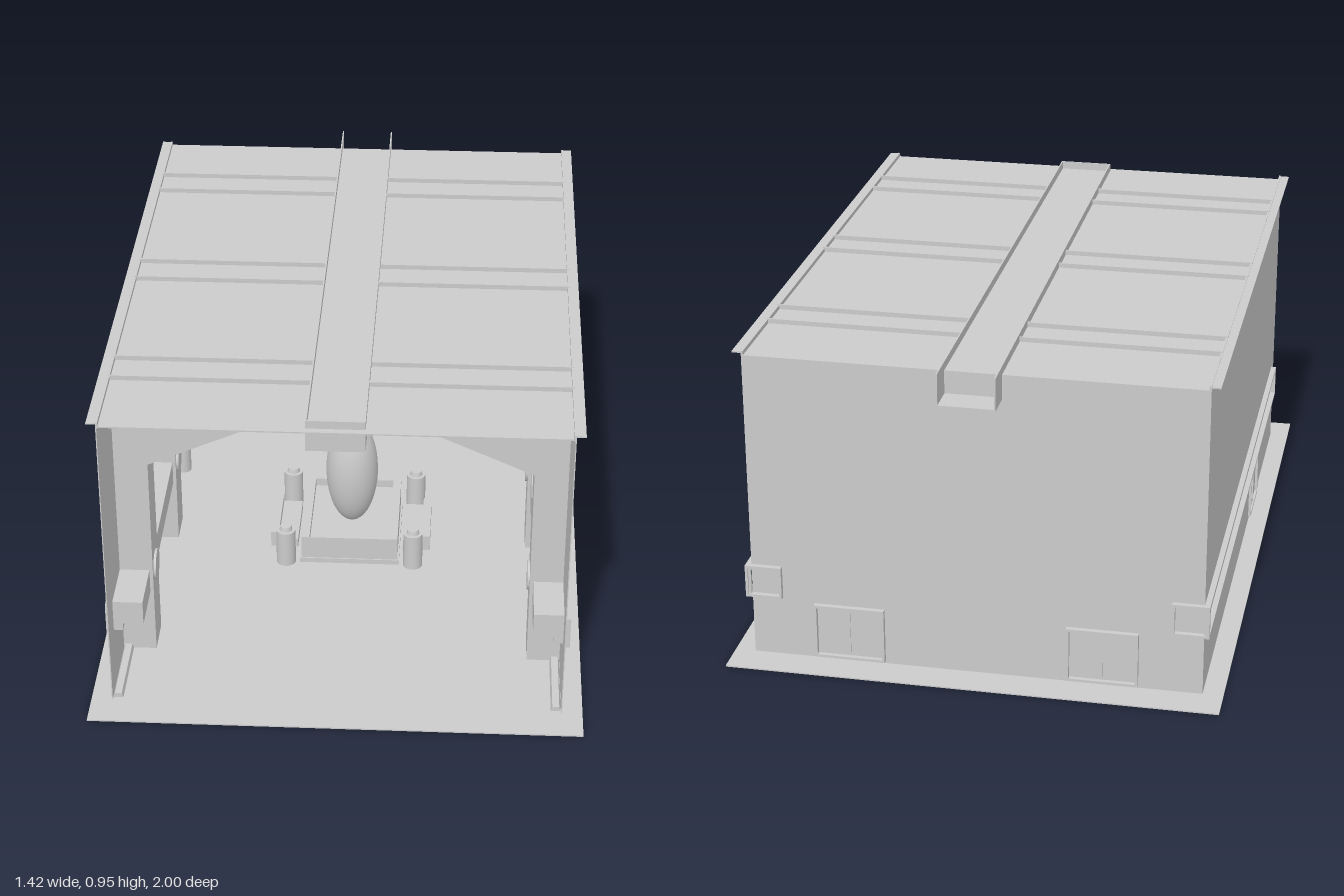
import * as THREE from 'three';

const mat = new THREE.MeshStandardMaterial({ color: 0xcccccc, side: THREE.DoubleSide });

export function createModel() {
  const root = new THREE.Group();

  const add = (name, geo, x = 0, y = 0, z = 0) => {
    const m = new THREE.Mesh(geo, mat);
    m.name = name;
    m.position.set(x, y, z);
    root.add(m);
    return m;
  };
  // box given by its min and max corners
  const box = (name, x0, x1, y0, y1, z0, z1) =>
    add(name, new THREE.BoxGeometry(Math.abs(x1 - x0), y1 - y0, z1 - z0), (x0 + x1) / 2, (y0 + y1) / 2, (z0 + z1) / 2);
  const poly = (pts) => new THREE.Shape(pts.map(([x, y]) => new THREE.Vector2(x, y)));
  // thin rectangular rim, drawn in a vertical plane and extruded outward
  const rim = (w, h, depth, t = 0.008) => {
    const s = poly([[-w / 2, 0], [w / 2, 0], [w / 2, h], [-w / 2, h]]);
    s.holes.push(poly([[t - w / 2, t], [t - w / 2, h - t], [w / 2 - t, h - t], [w / 2 - t, t]]));
    return new THREE.ExtrudeGeometry(s, { depth, bevelEnabled: false });
  };

  // ground slab and shell, open at the front
  box('floor', -0.709, 0.709, 0, 0.004, -1, 1);
  box('backWall', -0.65, 0.65, 0, 0.928, -0.9, -0.896);
  box('roof', -0.65, 0.65, 0.924, 0.928, -0.9, 0.9);

  // U-shaped roof channel, open at the back
  box('channelFloor', -0.081, 0.081, 0.857, 0.861, -0.985, 0.88);
  box('channelFront', -0.081, 0.081, 0.857, 0.952, 0.876, 0.88);

  // portal frames with sloped haunches, and their ribs on the roof
  const portal = poly([
    [-0.649, 0], [-0.55, 0], [-0.55, 0.65], [-0.081, 0.858], [0.081, 0.858],
    [0.55, 0.65], [0.55, 0], [0.649, 0], [0.649, 0.925], [-0.649, 0.925]]);
  for (const z of [0.59, 0, -0.6]) {
    add('portalFrame', new THREE.ExtrudeGeometry(portal, { depth: 0.116, bevelEnabled: false }), 0, 0, z - 0.058);
    for (const e of [-0.056, 0.056])
      for (const s of [-1, 1])
        box('roofRib', s * 0.081, s * 0.65, 0.926, 0.942, z + e - 0.003, z + e + 0.003);
  }

  // wedge-topped curb along z or x
  const curb = (length, x, z, alongX) => {
    const g = new THREE.ExtrudeGeometry(poly([[-0.015, 0.002], [0.015, 0.002], [0.01, 0.018], [-0.01, 0.018]]),
      { depth: length, bevelEnabled: false });
    g.translate(0, 0, -length / 2);
    add('curb', g, x, 0, z).rotation.y = alongX ? Math.PI / 2 : 0;
  };
  curb(0.54, 0, -0.88, true);

  for (const s of [-1, 1]) {
    box('sideWall', s * 0.647, s * 0.65, 0, 0.928, -0.9, 0.9);
    box('channelRail', s * 0.078, s * 0.082, 0.857, 0.952, -0.985, 0.88);
    // raised roof edge with an overhanging flange
    box('roofEdge', s * 0.644, s * 0.65, 0.92, 0.94, -0.9, 0.9);
    box('roofFlange', s * 0.65, s * 0.676, 0.934, 0.938, -0.9, 0.9);

    // stepped service duct on the inside of the wall
    const duct = poly([[0.56, 0.21], [0.62, 0.21], [0.62, 0.187], [0.648, 0.187], [0.648, 0.285], [0.56, 0.285]]
      .map(([x, y]) => [s * x, y]));
    add('serviceDuct', new THREE.ExtrudeGeometry(duct, { depth: 1.71, bevelEnabled: false }), 0, 0, -0.898);
    // its rim on the outside, turning the back corner
    add('ductSideRim', rim(1.74, 0.098, 0.016), s * 0.65, 0.187, -0.04).rotation.y = s * Math.PI / 2;
    add('ductBackRim', rim(0.106, 0.098, 0.015), s * 0.613, 0.187, -0.9).rotation.y = Math.PI;

    // double doors in the side and back walls
    add('sideDoorRim', rim(0.19, 0.157, 0.008), s * 0.65, 0.017, 0.315).rotation.y = s * Math.PI / 2;
    box('sideDoorSplit', s * 0.644, s * 0.654, 0.017, 0.174, 0.313, 0.317);
    add('backDoorRim', rim(0.205, 0.165, 0.015), s * 0.365, 0.012, -0.9).rotation.y = Math.PI;
    box('backDoorSplit', s * 0.363, s * 0.367, 0.017, 0.17, -0.905, -0.894);
    for (const x of [0.319, 0.413])
      box('backDoorLeaf', s * (x - 0.046), s * (x + 0.046), 0.017, 0.174, -0.902, -0.892);

    // wall screens
    box('wallScreen', s * 0.09, s * 0.368, 0.235, 0.385, -0.897, -0.885);
    box('screenMount', s * 0.17, s * 0.235, 0.232, 0.388, -0.896, -0.89);

    // round fittings on the pillars
    for (const z of [0.59, 0, -0.6])
      add('pillarDisc', new THREE.CylinderGeometry(0.045, 0.045, 0.008, 24), s * 0.547, 0.27, z).rotation.z = Math.PI / 2;

    // curbs, interrupted at the doors
    curb(0.48, s * 0.632, 0.65, false);
    curb(1.1, s * 0.632, -0.34, false);
    curb(0.17, s * 0.56, -0.88, true);

    // bollards and benches beside the plinth
    for (const z of [-0.17, 0.17]) {
      add('bollard', new THREE.CylinderGeometry(0.03, 0.03, 0.118, 20), s * 0.198, 0.063, z);
      add('bollardCap', new THREE.CylinderGeometry(0.017, 0.02, 0.014, 20), s * 0.198, 0.129, z);
    }
    box('bench', s * 0.165, s * 0.245, 0.018, 0.045, -0.11, 0.11);
    box('benchBack', s * 0.225, s * 0.25, 0.018, 0.07, -0.11, 0.11);
    add('barrel', new THREE.CylinderGeometry(0.027, 0.027, 0.13, 20), s * 0.58, 0.065, -0.35);

    // plinth side walls
    box('plinthSide', s * 0.125, s * 0.15, 0.018, 0.095, -0.17, 0.17);
    box('plinthEnd', -0.125, 0.125, 0.018, 0.095, s * 0.17, s * 0.17 + 0.001).scale.z = 1;
  }

  // cross gallery at the back
  box('galleryBeam', -0.55, 0.55, 0.52, 0.593, -0.897, -0.83);
  box('galleryFoot', -0.55, 0.55, 0.5, 0.52, -0.897, -0.82);
  box('galleryTop', -0.55, 0.55, 0.593, 0.6, -0.897, -0.82);

  // central plinth and upright egg
  box('plinthStep', -0.155, 0.155, 0.002, 0.02, -0.175, 0.175);
  box('plinthBed', -0.13, 0.13, 0.018, 0.07, -0.168, 0.168);
  const egg = add('egg', new THREE.SphereGeometry(1, 40, 28), 0, 0.245, 0);
  egg.scale.set(0.081, 0.185, 0.081);

  return root;
}
